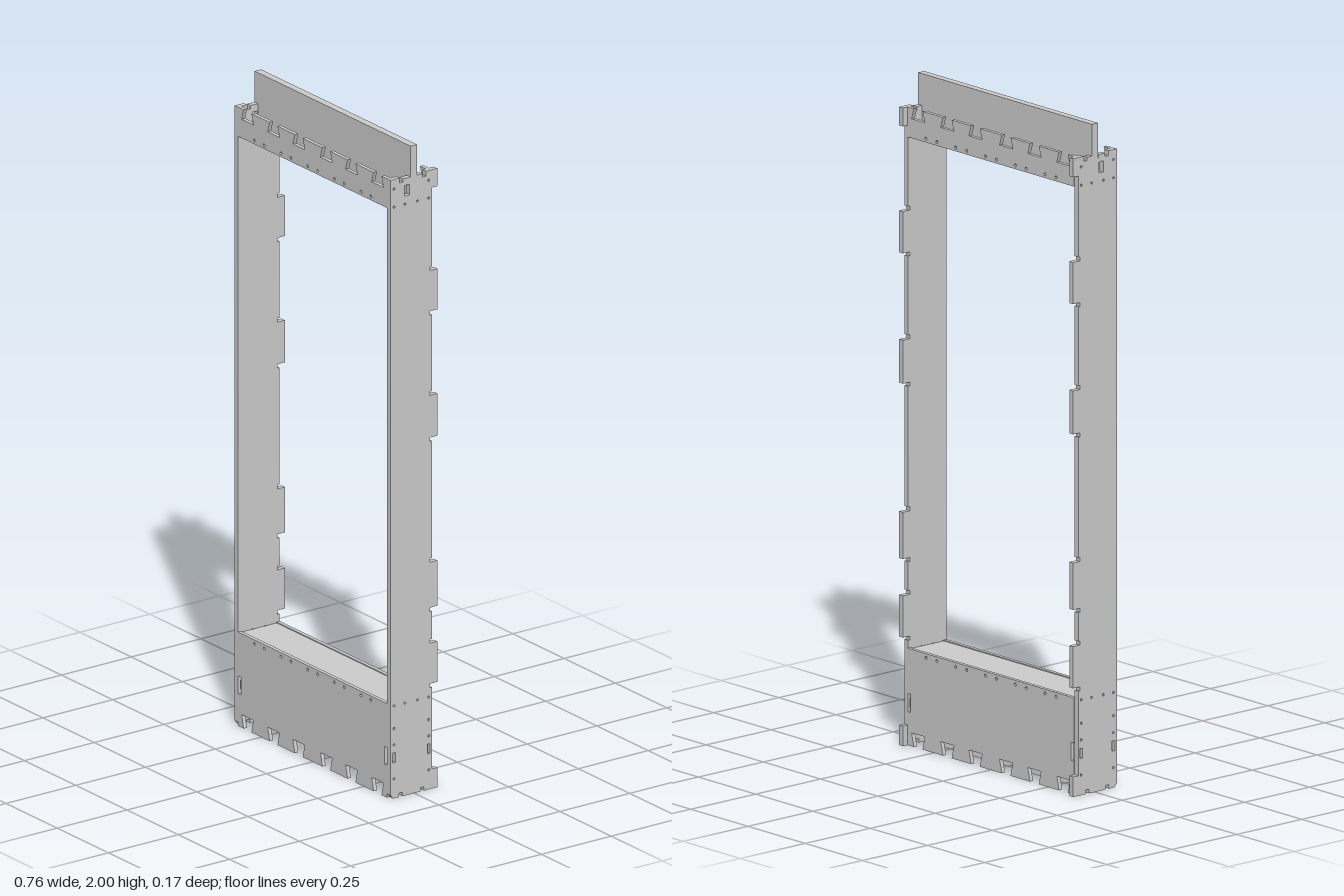
import * as THREE from 'three';

const HALF = 0.38, INNER = 0.363, PLY = 0.012;
const JOINTS = [-0.317, -0.19, -0.067, 0.067, 0.19, 0.317];
const SLOTS = [-0.26, -0.13, 0, 0.13, 0.26];

export function createModel() {
  const group = new THREE.Group();
  const material = new THREE.MeshStandardMaterial({ color: 0xcccccc, flatShading: true });

  const add = (name, geometry, x = 0, y = 0, z = 0) => {
    const mesh = new THREE.Mesh(geometry, material);
    mesh.name = name;
    mesh.position.set(x, y, z);
    group.add(mesh);
  };
  const toShape = (points) => new THREE.Shape(points.map(([x, y]) => new THREE.Vector2(x, y)));
  const extrude = (shape, depth) =>
    new THREE.ExtrudeGeometry(shape, { depth, bevelEnabled: false, curveSegments: 3 });
  const drill = (shape, x, y, r = 0.005) => {
    const hole = new THREE.Path();
    hole.absarc(x, y, r, 0, Math.PI * 2, true);
    shape.holes.push(hole);
  };
  const cutRect = (shape, x0, x1, y0, y1) =>
    shape.holes.push(new THREE.Path([[x0, y0], [x0, y1], [x1, y1], [x1, y0]].map((p) => new THREE.Vector2(...p))));

  // Dovetail sockets along an edge at height y, cut by depth d (negative cuts downwards)
  const dovetailEdge = (y, d) => JOINTS.flatMap((c) => [
    [c - 0.019, y], [c - 0.029, y + d], [c + 0.029, y + d], [c + 0.019, y],
  ]);

  // Lower panel: sockets at the bottom, hand notches at both ends
  const lower = toShape([
    [-INNER, 0], ...dovetailEdge(0, 0.04), [INNER, 0],
    [INNER, 0.1], [0.35, 0.1], [0.35, 0.155], [INNER, 0.155],
    [INNER, 0.29], [-INNER, 0.29],
    [-INNER, 0.155], [-0.35, 0.155], [-0.35, 0.1], [-INNER, 0.1],
  ]);
  // Upper panel: sockets at the top
  const upper = toShape([
    [-INNER, 1.82], [INNER, 1.82], [INNER, 1.91],
    ...dovetailEdge(1.91, -0.032).reverse(), [-INNER, 1.91],
  ]);
  // Relief holes at the ends of each shelf slot
  for (const c of SLOTS) for (const s of [-1, 1]) {
    drill(lower, c + s * 0.024, 0.277);
    drill(upper, c + s * 0.024, 1.831);
  }
  for (const [side, z] of [['front', 0.085 - PLY], ['back', -0.065]]) {
    add(side + 'LowerPanel', extrude(lower, PLY), 0, 0, z);
    add(side + 'UpperPanel', extrude(upper, PLY), 0, 0, z);
  }

  // Side panel outline in z and y: slotted top, tabs down the back edge
  const tabs = [[1.475, 1.6], [1.085, 1.215], [0.56, 0.7], [0.325, 0.45]];
  const backEdge = tabs.flatMap(([a, b]) => [
    [-0.063, b + 0.012], [-0.057, b + 0.012], [-0.057, b], [-0.083, b],
    [-0.083, a], [-0.057, a], [-0.057, a - 0.012], [-0.063, a - 0.012],
  ]);
  const side = toShape([
    [0.075, 0], [0.085, 0.012], [0.085, 1.91], [0.052, 1.91], [0.052, 1.895], [0.04, 1.895],
    [0.04, 1.905], [0.0135, 1.905], [0.0135, 1.895], [-0.0105, 1.895], [-0.0105, 1.905],
    [-0.03, 1.905], [-0.03, 1.895], [-0.042, 1.895], [-0.042, 1.91],
    [-0.083, 1.91], [-0.083, 1.855], [-0.063, 1.855],
    ...backEdge,
    [-0.063, 0.06], [-0.083, 0.06], [-0.083, 0],
    [-0.035, 0], [-0.035, 0.012], [-0.022, 0.012], [-0.022, 0],
    [0.042, 0], [0.042, 0.012], [0.055, 0.012], [0.055, 0],
  ]);
  cutRect(side, 0.016, 0.034, 1.85, 1.883);
  for (const z of [0.072, -0.052]) {
    for (const y of [0.06, 0.165, 0.215, 0.285, 1.825, 1.88]) drill(side, z, y, 0.004);
    cutRect(side, z - 0.005, z + 0.005, 0.11, 0.14);
  }
  for (const z of [0.033, -0.012]) for (const y of [0.285, 1.825]) drill(side, z, y, 0.004);
  const sideGeometry = extrude(side, HALF - INNER).rotateY(-Math.PI / 2);
  add('leftSidePanel', sideGeometry, HALF);
  add('rightSidePanel', sideGeometry, -INNER);

  // Shelves closing the top and bottom of the opening
  const shelf = new THREE.BoxGeometry(2 * INNER, 0.016, 0.126);
  add('bottomShelf', shelf, 0, 0.279, 0.01);
  add('topShelf', shelf, 0, 1.83, 0.01);

  // Upright header board seated between the side panels and lapping over them
  const header = toShape([
    [-INNER, 1.838], [INNER, 1.838], [INNER, 1.895], [HALF, 1.895],
    [HALF, 2], [-HALF, 2], [-HALF, 1.895], [-INNER, 1.895],
  ]);
  add('headerBoard', extrude(header, 0.023), 0, 0, -0.01);

  return group;
}
